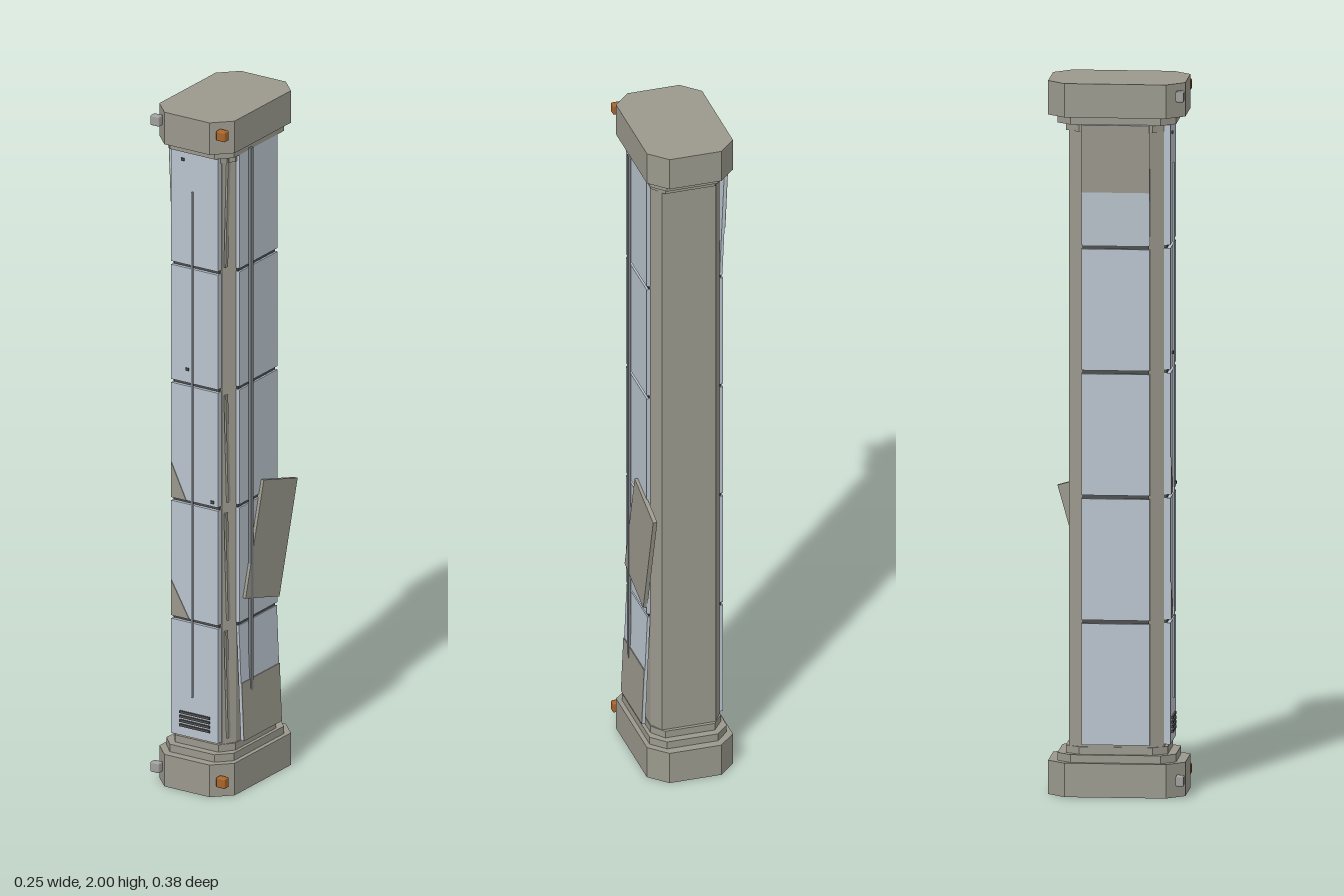
import * as THREE from 'three';
import { RoundedBoxGeometry } from 'three/addons/geometries/RoundedBoxGeometry.js';

const mat = (name, color) => {
  const m = new THREE.MeshStandardMaterial({ color });
  m.name = name;
  return m;
};

export function createModel() {
  const root = new THREE.Group();
  root.name = 'column';
  const stone = mat('weathered grey', 0x9b998d);
  const panel = mat('pale blue panel', 0xb9c3cd);
  const pipe = mat('conduit grey', 0x80858a);
  const dark = mat('dark vent', 0x4c4d4d);
  const amber = mat('amber lamp', 0xa8642a);
  const grey = mat('grey lamp', 0xa0a09e);

  const add = (name, geo, material, x = 0, y = 0, z = 0, parent = root) => {
    const m = new THREE.Mesh(geo, material);
    m.name = name;
    m.position.set(x, y, z);
    parent.add(m);
    return m;
  };
  const box = (name, material, w, h, d, x, y, z, parent) =>
    add(name, new THREE.BoxGeometry(w, h, d), material, x, y, z, parent);

  // Upright prism with cut corners: half width, half depth, corner cuts
  const prism = (name, hx, hz, cx, cz, y0, y1) => {
    const s = new THREE.Shape([
      [hx, -hz + cz], [hx, hz - cz], [hx - cx, hz], [-hx + cx, hz],
      [-hx, hz - cz], [-hx, -hz + cz], [-hx + cx, -hz], [hx - cx, -hz],
    ].map(([x, y]) => new THREE.Vector2(x, y)));
    const g = new THREE.ExtrudeGeometry(s, { depth: y1 - y0, bevelEnabled: false });
    g.rotateX(-Math.PI / 2);
    return add(name, g, stone, 0, y0, 0);
  };

  // Shaft, stepped base and mirrored cap
  prism('shaft', 0.1, 0.132, 0.022, 0.037, 0.1, 1.9);
  [false, true].forEach((top) => {
    const span = (a, b) => (top ? [2 - b, 2 - a] : [a, b]);
    const n = top ? 'cap' : 'base';
    prism(n + 'Block', 0.125, 0.191, 0.05, 0.05, ...span(0, 0.095));
    prism(n + 'Step', 0.112, 0.165, 0.038, 0.04, ...span(0.095, 0.117));
    prism(n + 'Collar', 0.102, 0.142, 0.03, 0.04, ...span(0.117, 0.138));
    const y = top ? 1.966 : 0.048;
    const lamp = new RoundedBoxGeometry(0.03, 0.03, 0.023, 1, 0.004);
    add(n + 'LeftLamp', lamp, amber, 0.11, y, 0.179);
    add(n + 'RightLamp', lamp, grey, -0.109, y, 0.179);
  });

  // Cladding: five panels on the front and on both sides
  const H = 0.34, pitch = 0.35, first = 0.315;
  for (let i = 0; i < 5; i++) {
    const y = first + i * pitch;
    box('frontPanel', panel, 0.155, H, 0.018, -0.002, y, 0.141);
    if (i < 4) box('frontSeam', dark, 0.15, 0.01, 0.008, -0.002, y + pitch / 2, 0.136);
    [1, -1].forEach((s) => {
      if (i < 4) box('sideSeam', dark, 0.006, 0.01, 0.185, s * 0.102, y + pitch / 2, 0);
      const loose = (s === 1 && i === 0) || (s === -1 && i === 4);
      if (!loose) {
        box('sidePanel', panel, 0.011, H, 0.19, s * 0.1055, y, 0);
        return;
      }
      // Loose panel leaning outward at its exposed half
      const g = new THREE.Group();
      g.name = 'loosePanel';
      const e = s === 1 ? -1 : 1;
      g.position.set(s * 0.112, y, 0);
      g.rotation.z = 0.042;
      box('panelSheet', panel, 0.008, H, 0.19, 0, 0, 0, g);
      const ph = s === 1 ? 0.17 : 0.19;
      box('barePatch', stone, 0.003, ph, 0.19, s * 0.005, e * (H - ph) / 2, 0, g);
      root.add(g);
    });
  }

  // Slipped panel hanging crooked on the left side
  const slipped = box('slippedPanel', stone, 0.012, 0.335, 0.176, 0.114, 0.7, -0.052);
  slipped.rotation.x = -0.275;
  slipped.rotation.order = 'XYZ';

  // Vertical conduits
  box('sideConduit', pipe, 0.008, 1.61, 0.012, 0.117, 1.085, 0.046);
  box('frontFin', panel, 0.004, 1.5, 0.005, -0.008, 1.015, 0.1525);

  // Peeled triangles on the front panels
  [[0.845, 0.95, 0.05], [0.495, 0.6, 0.06]].forEach(([y0, y1, w]) => {
    const s = new THREE.Shape([
      new THREE.Vector2(-0.079, y0), new THREE.Vector2(-0.079 + w, y0), new THREE.Vector2(-0.079, y1),
    ]);
    add('peeledCorner', new THREE.ExtrudeGeometry(s, { depth: 0.002, bevelEnabled: false }), stone, 0, 0, 0.15);
  });

  // Warped trim strips on the front left corner
  [0, 1, 2, 4].forEach((i) => {
    const t = box('cornerTrim', stone, 0.006, H - 0.02, 0.012, 0.088, first + i * pitch, 0.122);
    t.rotation.x = i === 4 ? -0.04 : 0.04;
  });

  // Vent slats and bolts
  for (let i = 0; i < 4; i++) box('ventSlat', dark, 0.1, 0.007, 0.006, 0, 0.176 + i * 0.013, 0.152);
  [[-0.025, 1.235], [0.058, 0.858], [-0.04, 1.855]].forEach(([x, y]) =>
    box('bolt', dark, 0.01, 0.008, 0.006, x, y, 0.151));

  return root;
}
